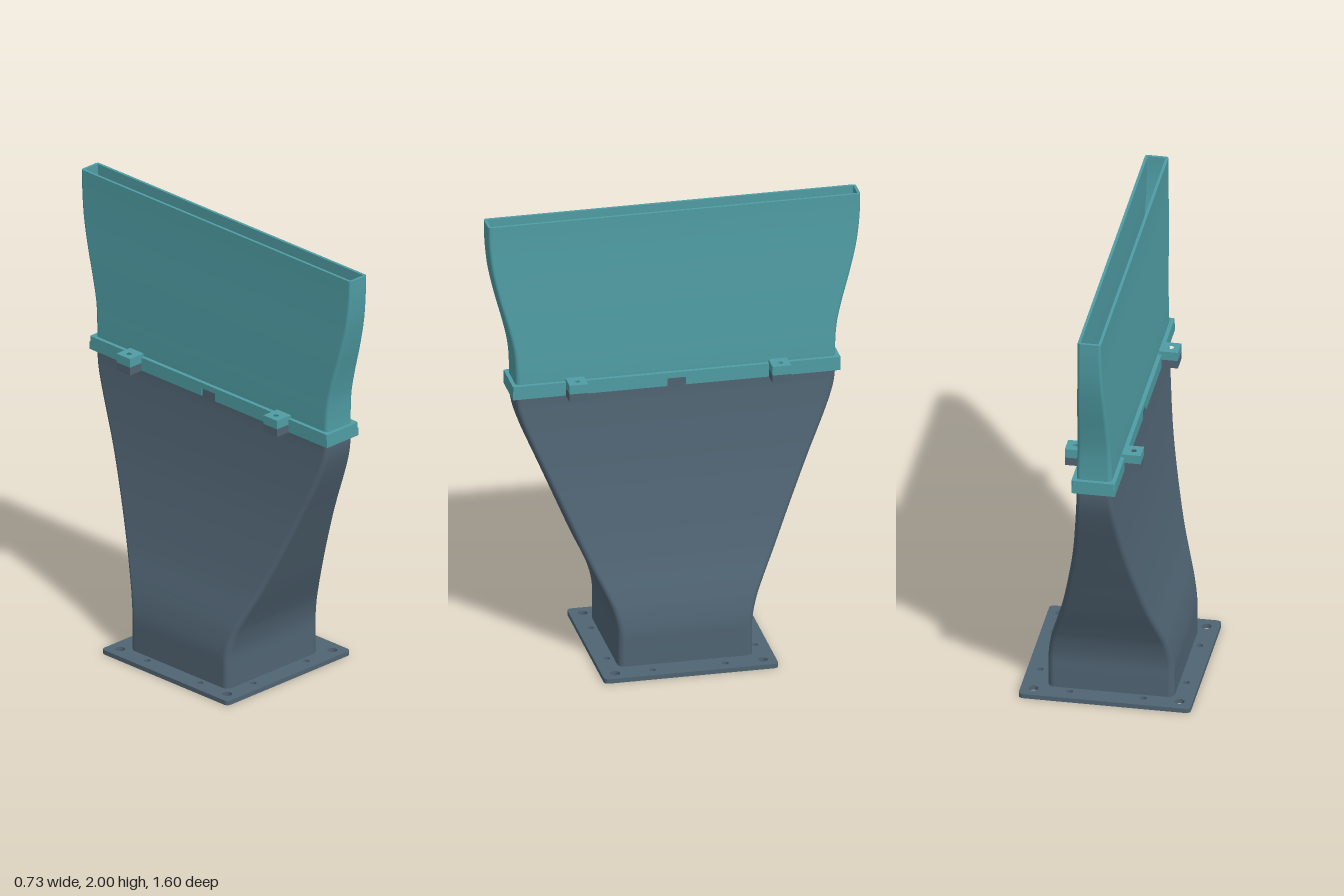
import * as THREE from 'three';
import { mergeGeometries } from 'three/addons/utils/BufferGeometryUtils.js';

const CX = -0.013;   // the duct sits slightly off the flange centre
const WALL = 0.012;
const ARC = 6;       // segments per rounded corner

// Rounded rectangle cross-section, running from +x towards +z
function ring(hx, y, hz, r) {
  const pts = [];
  const signs = [[1, 1], [-1, 1], [-1, -1], [1, -1]];
  signs.forEach(([sx, sz], q) => {
    for (let i = 0; i <= ARC; i++) {
      const a = (q + i / ARC) * Math.PI / 2;
      pts.push([CX + sx * (hx - r) + r * Math.cos(a), y, sz * (hz - r) + r * Math.sin(a)]);
    }
  });
  return pts;
}

// Surface through successive rings
function skin(rings) {
  const n = rings[0].length, index = [];
  for (let j = 0; j < rings.length - 1; j++) {
    for (let i = 0; i < n; i++) {
      const k = (i + 1) % n, a = j * n + i, b = j * n + k;
      index.push(a, a + n, b, b, a + n, b + n);
    }
  }
  const g = new THREE.BufferGeometry();
  g.setAttribute('position', new THREE.Float32BufferAttribute(rings.flat(2), 3));
  g.setIndex(index);
  g.computeVertexNormals();
  return g;
}

// Hollow duct from [half width, height, half depth] stations
function duct(stations, r0, r1, steps) {
  const curve = new THREE.CatmullRomCurve3(stations.map(s => new THREE.Vector3(...s)), false, 'centripetal');
  const outer = [], inner = [];
  for (let i = 0; i <= steps; i++) {
    const p = curve.getPoint(i / steps), r = r0 + (r1 - r0) * i / steps;
    outer.push(ring(p.x, p.y, p.z, r));
    inner.push(ring(p.x - WALL, p.y, p.z - WALL, Math.max(r - WALL, 0.003)));
  }
  return mergeGeometries([
    skin(outer),
    skin([...inner].reverse()),
    skin([outer[steps], inner[steps]]),
    skin([inner[0], outer[0]]),
  ]);
}

// Rectangle outline with rounded corners
function rect(ShapeType, cx, hx, hy, r) {
  const s = new ShapeType();
  [[1, 1, 0], [-1, 1, 1], [-1, -1, 2], [1, -1, 3]].forEach(([sx, sy, q]) =>
    s.absarc(cx + sx * (hx - r), sy * (hy - r), r, q * Math.PI / 2, (q + 1) * Math.PI / 2, false));
  s.closePath();
  return s;
}

function circle(x, y, r) {
  return new THREE.Path().absarc(x, y, r, 0, Math.PI * 2, true);
}

// Flat plan shape raised from height y0 to y1
function slab(shape, y0, y1) {
  return new THREE.ExtrudeGeometry(shape, { depth: y1 - y0, bevelEnabled: false, curveSegments: 8 })
    .rotateX(-Math.PI / 2).translate(0, y0, 0);
}

export function createModel() {
  const group = new THREE.Group();
  const slate = new THREE.MeshStandardMaterial({ name: 'slate', color: 0x506473 });
  const teal = new THREE.MeshStandardMaterial({ name: 'teal', color: 0x4f9da4 });
  const add = (name, geometry, material) => {
    const m = new THREE.Mesh(geometry, material);
    m.name = name;
    group.add(m);
  };

  // Mounting flange with its bolt holes
  const flange = rect(THREE.Shape, 0, 0.367, 0.375, 0.02);
  flange.holes.push(rect(THREE.Path, CX, 0.27 - WALL, 0.29 - WALL, 0.018));
  for (const sx of [-1, 1]) for (const sz of [-1, 1]) {
    flange.holes.push(
      circle(sx * 0.312, sz * 0.318, 0.021),
      circle(sx * 0.312, sz * 0.157, 0.014),
      circle(sx * 0.157, sz * 0.318, 0.014));
  }
  add('mountingFlange', slab(flange, 0, 0.02), slate);

  // Lower transition duct: near square at the base, a wide slot at the top
  add('lowerDuct', duct([
    [0.27, 0.02, 0.29], [0.27, 0.1, 0.29], [0.269, 0.18, 0.291], [0.254, 0.27, 0.312],
    [0.234, 0.34, 0.341], [0.195, 0.466, 0.4], [0.152, 0.65, 0.479], [0.116, 0.84, 0.56],
    [0.09, 1.04, 0.645], [0.081, 1.13, 0.676], [0.077, 1.18, 0.686], [0.076, 1.22, 0.689],
  ], 0.03, 0.02, 60), slate);

  // Upper nozzle, flaring in depth while narrowing in width
  add('upperNozzle', duct([
    [0.076, 1.22, 0.689], [0.075, 1.32, 0.689], [0.071, 1.42, 0.697], [0.067, 1.52, 0.719],
    [0.061, 1.66, 0.757], [0.055, 1.79, 0.786], [0.051, 1.91, 0.799], [0.05, 2, 0.801],
  ], 0.02, 0.012, 36), teal);

  // Joint collar: full ring above, two halves below that leave room for the keys
  const collar = rect(THREE.Shape, CX, 0.093, 0.705, 0.008);
  collar.holes.push(rect(THREE.Path, CX, 0.07, 0.683, 0.008));
  add('collarUpper', slab(collar, 1.25, 1.275), teal);
  for (const s of [-1, 1]) {
    const half = new THREE.Shape([
      [0.093, 0.04], [0.093, 0.705], [-0.093, 0.705], [-0.093, 0.04],
      [-0.07, 0.04], [-0.07, 0.683], [0.07, 0.683], [0.07, 0.04],
    ].map(([x, z]) => new THREE.Vector2(CX + x, s * z)));
    add('collarLower', slab(half, 1.215, 1.25), teal);
    // Locating key in the collar notch
    add('locatingKey', new THREE.BoxGeometry(0.02, 0.035, 0.08)
      .translate(CX + s * 0.079, 1.2325, 0), slate);
  }

  // Paired screw lugs on both sides of the joint
  for (const sx of [-1, 1]) for (const sz of [-1, 1]) {
    const lug = new THREE.Shape([[0.08, -0.04], [0.162, -0.04], [0.162, 0.04], [0.08, 0.04]]
      .map(([x, z]) => new THREE.Vector2(CX + sx * x, sz * 0.437 + z)));
    lug.holes.push(circle(CX + sx * 0.126, sz * 0.437, 0.012));
    add('lowerLug', slab(lug, 1.214, 1.25), slate);
    add('upperLug', slab(lug, 1.25, 1.29), teal);
  }
  return group;
}
